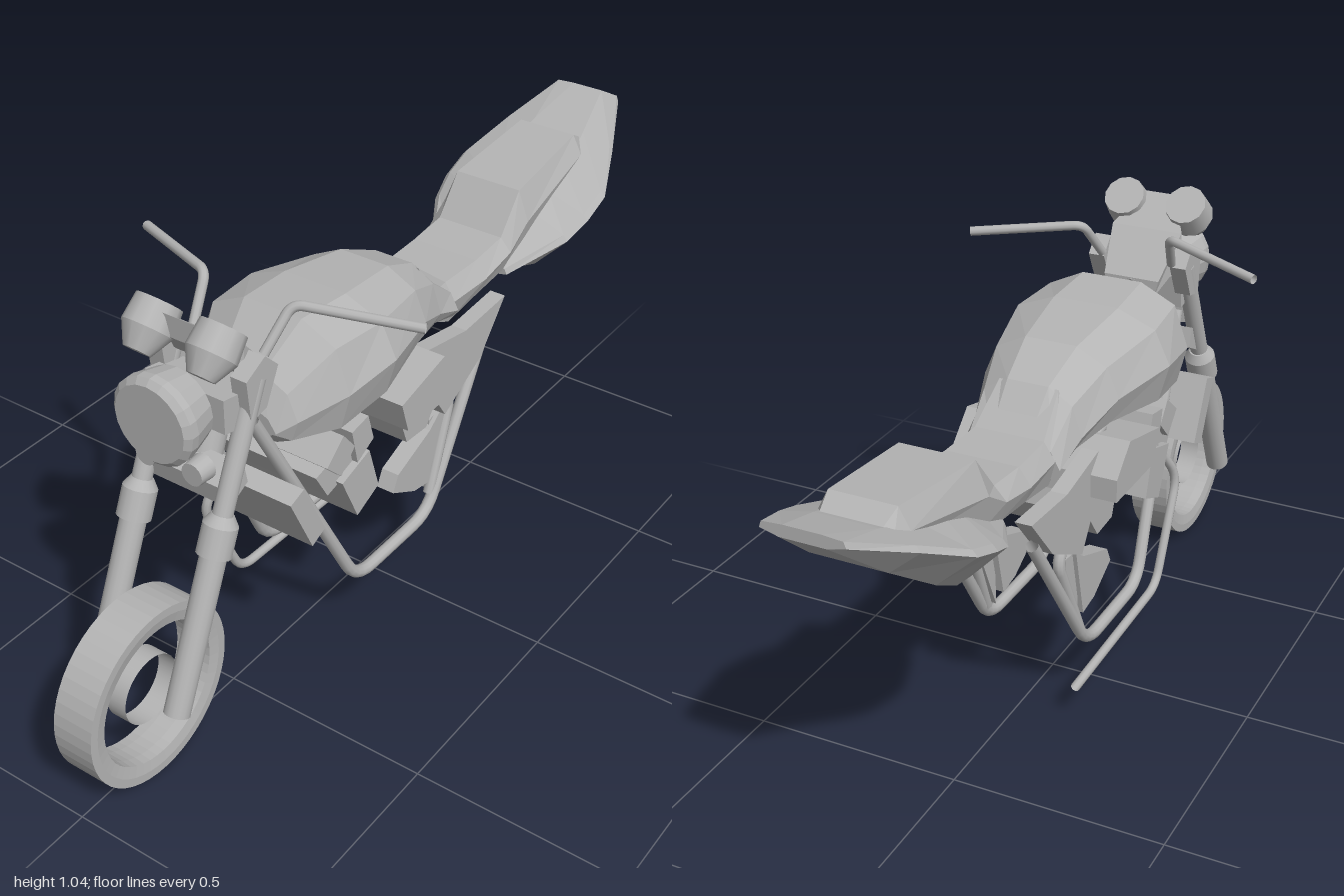
import * as THREE from 'three';

const grey = new THREE.MeshStandardMaterial({ color: 0xb4b4b4, side: THREE.DoubleSide });
grey.name = 'plain grey';
const V = (p) => new THREE.Vector3(...p);

export function createModel() {
  const model = new THREE.Group();
  model.name = 'motorcycle';

  const add = (name, geometry) => {
    const mesh = new THREE.Mesh(geometry, grey);
    mesh.name = name;
    model.add(mesh);
    return mesh;
  };

  // Straight round bar from a to b, with a radius at each end
  const rod = (name, a, b, ra, rb = ra, sides = 16) => {
    const from = V(a), to = V(b), dir = to.clone().sub(from);
    const mesh = add(name, new THREE.CylinderGeometry(rb, ra, dir.length(), sides));
    mesh.position.copy(from).add(to).multiplyScalar(0.5);
    mesh.quaternion.setFromUnitVectors(new THREE.Vector3(0, 1, 0), dir.normalize());
  };

  // Bent pipe through points, with rounded corners
  const pipe = (name, points, r, bend) => {
    const p = points.map(V), path = new THREE.CurvePath();
    let start = p[0];
    for (let i = 1; i < p.length - 1; i++) {
      const into = p[i].clone().add(p[i - 1].clone().sub(p[i]).setLength(bend));
      const out = p[i].clone().add(p[i + 1].clone().sub(p[i]).setLength(bend));
      path.add(new THREE.LineCurve3(start, into));
      path.add(new THREE.QuadraticBezierCurve3(into, p[i], out));
      start = out;
    }
    path.add(new THREE.LineCurve3(start, p[p.length - 1]));
    add(name, new THREE.TubeGeometry(path, 60, r, 10));
  };

  // Side outline of [z, y] points, extruded from x0 to x1
  const slab = (name, outline, x0, x1) => {
    const shape = new THREE.Shape(outline.map(([z, y]) => new THREE.Vector2(z, y)));
    const g = new THREE.ExtrudeGeometry(shape, { depth: x1 - x0, bevelEnabled: false });
    add(name, g.rotateY(-Math.PI / 2).translate(x1, 0, 0));
  };

  // Faceted body through cross-sections [z, half outline from bottom to top], front to back
  const loft = (name, sections) => {
    const rings = sections.map(([z, half]) => [
      ...half.map(([x, y]) => [x, y, z]),
      ...half.slice().reverse().map(([x, y]) => [-x, y, z]),
    ]);
    const n = rings[0].length, last = rings.length - 1, out = [];
    for (let j = 0; j < last; j++) {
      for (let i = 0; i < n; i++) {
        const k = (i + 1) % n;
        const [a, b, c, d] = [rings[j][i], rings[j + 1][i], rings[j + 1][k], rings[j][k]];
        out.push(...a, ...b, ...c, ...a, ...c, ...d);
      }
    }
    for (let i = 1; i < n - 1; i++) {
      out.push(...rings[0][0], ...rings[0][i], ...rings[0][i + 1]);
      out.push(...rings[last][0], ...rings[last][i + 1], ...rings[last][i]);
    }
    const g = new THREE.BufferGeometry();
    g.setAttribute('position', new THREE.Float32BufferAttribute(out, 3));
    g.computeVertexNormals();
    add(name, g);
  };

  // Front wheel: hollow rim and open hub
  const ring = [[0.163, -0.02], [0.165, -0.045], [0.19, -0.05], [0.21, -0.05],
    [0.21, 0.05], [0.19, 0.05], [0.165, 0.045], [0.163, 0.02], [0.163, -0.02]];
  const wheel = new THREE.LatheGeometry(ring.map((p) => new THREE.Vector2(...p)), 48).toNonIndexed();
  wheel.computeVertexNormals();
  add('frontWheel', wheel.rotateZ(Math.PI / 2).translate(0, 0.21, 0.79));
  const hub = new THREE.CylinderGeometry(0.08, 0.08, 0.05, 32, 1, true);
  add('frontHub', hub.rotateZ(Math.PI / 2).translate(0, 0.21, 0.79));

  // Headlight
  const lamp = [[0, -0.115], [0.05, -0.115], [0.085, -0.09], [0.1, -0.03], [0.1, -0.012], [0.087, 0], [0, 0]];
  const lampShell = new THREE.LatheGeometry(lamp.map((p) => new THREE.Vector2(...p)), 20).toNonIndexed();
  lampShell.computeVertexNormals();
  add('headlight', lampShell.rotateX(Math.PI / 2).translate(0, 0.825, 0.705));
  slab('headlightBracket', [[0.6, 0.86], [0.6, 0.78], [0.51, 0.76], [0.5, 0.84]], -0.1, 0.1);

  // Yoke and gauge panel, wider toward the rider
  loft('gaugePanel', [
    [0.60, [[0.03, 0.96], [0.04, 1.01]]],
    [0.52, [[0.09, 0.87], [0.09, 0.945]]],
    [0.43, [[0.06, 0.81], [0.07, 0.85]]],
  ]);
  slab('lowerYoke', [[0.62, 0.66], [0.61, 0.61], [0.55, 0.64], [0.56, 0.69]], -0.11, 0.11);
  rod('steeringHead', [0, 0.63, 0.56], [0, 0.86, 0.46], 0.035);

  for (const s of [-1, 1]) {
    const x = s * 0.106;
    // Fork leg
    rod('forkLower', [x, 0.2, 0.805], [x, 0.54, 0.655], 0.029);
    rod('forkCollar', [x, 0.525, 0.662], [x, 0.585, 0.635], 0.038);
    rod('forkCollarTop', [x, 0.585, 0.635], [x, 0.605, 0.626], 0.038, 0.024);
    rod('forkUpper', [x, 0.6, 0.63], [x, 0.87, 0.507], 0.022);
    slab('forkClamp', [[0.56, 0.89], [0.55, 0.79], [0.5, 0.8], [0.46, 0.88], [0.5, 0.92]],
      x - 0.02, x + 0.02);

    // Gauge cup, open end toward the rider
    rod('gaugeBase', [s * 0.08, 0.928, 0.638], [s * 0.08, 0.962, 0.604], 0.03, 0.055, 12);
    rod('gaugeFace', [s * 0.08, 0.962, 0.604], [s * 0.08, 1.003, 0.563], 0.055, 0.05, 12);

    // Horn
    rod('horn', [s * 0.06, 0.702, 0.62], [s * 0.06, 0.702, 0.66], 0.029, 0.026);

    // Handlebar
    pipe('handlebar', [[s * 0.09, 0.89, 0.46], [s * 0.11, 0.978, 0.39], [s * 0.357, 0.957, 0.287]], 0.011, 0.025);

    // Frame cradle and pivot tube
    pipe('frameCradle', [[s * 0.09, 0.755, 0.505], [s * 0.128, 0.155, 0.205],
      [s * 0.128, 0.155, -0.09], [s * 0.115, 0.54, -0.34]], 0.015, 0.06);
    pipe('pivotTube', [[s * 0.11, 0.66, 0.02], [s * 0.11, 0.65, -0.03],
      [s * 0.11, 0.42, -0.205], [s * 0.12, 0.2, -0.11]], 0.014, 0.03);

    // Side covers
    const cover = (name, outline, a, b) => slab(name, outline, Math.min(s * a, s * b), Math.max(s * a, s * b));
    cover('sidePanel', [[-0.06, 0.64], [-0.22, 0.61], [-0.39, 0.62], [-0.29, 0.5],
      [-0.14, 0.42], [-0.08, 0.51]], 0.1, 0.14);
    cover('footPlate', [[0.05, 0.3], [0.03, 0.34], [-0.1, 0.39], [-0.14, 0.42],
      [-0.1, 0.24], [-0.04, 0.25]], 0.08, 0.125);
    cover('pivotPlate', [[-0.11, 0.41], [-0.2, 0.42], [-0.11, 0.21]], 0.095, 0.115);
    cover('headCover', [[0.35, 0.57], [0.29, 0.62], [0.25, 0.57], [0.3, 0.52]], 0.02, 0.16);
    cover('headCover', [[0.26, 0.61], [0.2, 0.62], [0.18, 0.55], [0.24, 0.52]], 0.02, 0.16);
  }

  // Radiator
  slab('radiator', [[0.515, 0.59], [0.47, 0.605], [0.4, 0.46], [0.445, 0.44]], -0.19, 0.19);

  // Engine
  slab('cylinderHead', [[0.37, 0.55], [0.33, 0.48], [0.2, 0.51], [0.19, 0.59]], -0.145, 0.145);
  slab('cylinderBlock', [[0.3, 0.5], [0.245, 0.38], [0.165, 0.415], [0.2, 0.53]], -0.163, 0.163);
  slab('airbox', [[0.135, 0.625], [0.11, 0.545], [-0.1, 0.545], [-0.1, 0.6], [-0.03, 0.665]], -0.203, 0.203);
  slab('airboxLower', [[0.06, 0.545], [0.02, 0.435], [-0.06, 0.43], [-0.11, 0.5], [-0.1, 0.545]], -0.14, 0.14);

  // Exhaust pipe on the right side
  pipe('exhaustPipe', [[-0.12, 0.47, 0.33], [-0.146, 0.36, 0.405],
    [-0.146, 0.105, 0.285], [-0.146, 0.093, -0.185]], 0.011, 0.045);

  // Fuel tank
  const tank = ([z, w, bottom, mid, shoulder, top]) => [z,
    [[w * 0.6, bottom], [w * 0.88, bottom + 0.02], [w, mid], [w * 0.82, shoulder], [w * 0.38, top]]];
  loft('fuelTank', [
    [0.455, 0.11, 0.675, 0.70, 0.73, 0.75],
    [0.42, 0.14, 0.65, 0.72, 0.78, 0.81],
    [0.315, 0.195, 0.64, 0.75, 0.85, 0.892],
    [0.17, 0.21, 0.655, 0.765, 0.845, 0.882],
    [-0.01, 0.165, 0.67, 0.75, 0.82, 0.857],
    [-0.125, 0.13, 0.65, 0.7, 0.77, 0.805],
    [-0.215, 0.12, 0.62, 0.66, 0.7, 0.715],
  ].map(tank));

  // Seat with raised rear half
  const seat = ([z, w, bottom, edge, top]) => [z, [[w * 0.85, bottom], [w, edge], [w * 0.75, top]]];
  loft('seat', [
    [-0.12, 0.095, 0.66, 0.73, 0.80],
    [-0.215, 0.11, 0.62, 0.68, 0.722],
    [-0.34, 0.115, 0.64, 0.68, 0.722],
    [-0.45, 0.115, 0.65, 0.70, 0.732],
    [-0.525, 0.115, 0.67, 0.75, 0.825],
    [-0.8, 0.1, 0.77, 0.81, 0.857],
    [-0.845, 0.09, 0.79, 0.81, 0.832],
  ].map(seat));

  // Tail fairing
  const tail = ([z, w, bottom, rim, top]) => [z, [[w * 0.55, bottom], [w, rim], [w * 0.94, rim + 0.014], [w * 0.45, top]]];
  loft('tailFairing', [
    [-0.445, 0.11, 0.63, 0.64, 0.665],
    [-0.59, 0.19, 0.60, 0.69, 0.74],
    [-0.66, 0.205, 0.62, 0.72, 0.765],
    [-0.74, 0.205, 0.665, 0.75, 0.79],
    [-0.86, 0.155, 0.75, 0.81, 0.84],
    [-1.0, 0.09, 0.865, 0.875, 0.892],
  ].map(tail));

  return model;
}
